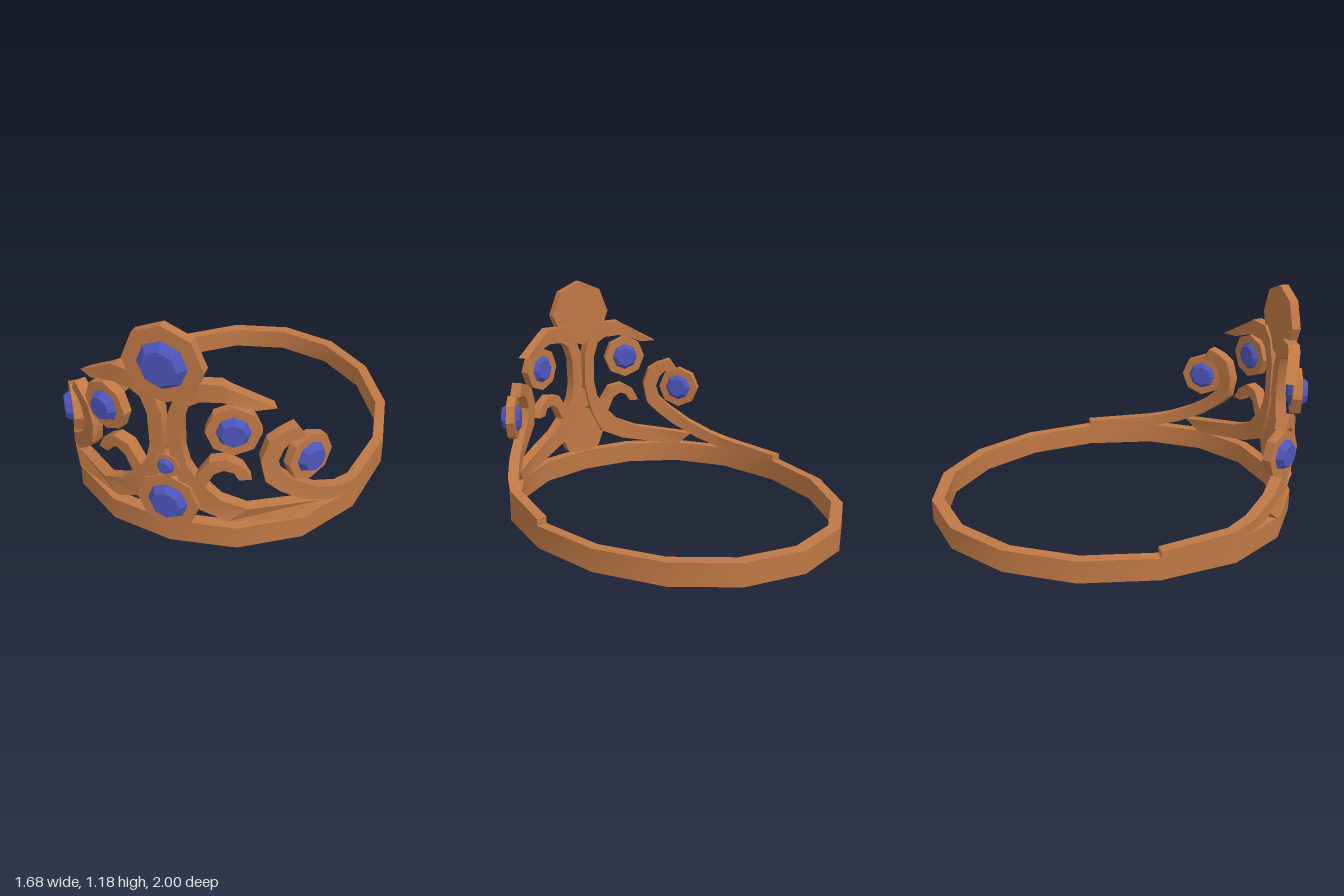
import * as THREE from 'three';
import { toCreasedNormals } from 'three/addons/utils/BufferGeometryUtils.js';

const copper = new THREE.MeshStandardMaterial({ color: 0xbf7845 });
copper.name = 'copper';
const blue = new THREE.MeshStandardMaterial({ color: 0x4c55ba });
blue.name = 'blue gem';

const CZ = 0.03, RX = 0.84, RF = 0.93, RB = 1.03, P = 2.2, INNER = 0.935;

// Depth of the front half of the band at a given x
function frontZ(x) {
  return CZ + RF * Math.pow(Math.max(0, 1 - Math.pow(Math.abs(x) / RX, P)), 1 / P);
}

// Solid through four-cornered sections, wound so that faces point outward
function loft(sections, closed) {
  const tris = [];
  const quad = (a, b, c, d) => tris.push([a, b, c], [a, c, d]);
  const n = sections.length;
  for (let i = 0; i < (closed ? n : n - 1); i++) {
    const s = sections[i], t = sections[(i + 1) % n];
    for (let k = 0; k < 4; k++) quad(s[k], s[(k + 1) % 4], t[(k + 1) % 4], t[k]);
  }
  if (!closed) {
    const s = sections[0], t = sections[n - 1];
    quad(s[3], s[2], s[1], s[0]);
    quad(t[0], t[1], t[2], t[3]);
  }
  let volume = 0;
  for (const [a, b, c] of tris) volume += a.dot(b.clone().cross(c));
  const points = [];
  for (const [a, b, c] of tris) points.push(...(volume > 0 ? [a, b, c] : [a, c, b]));
  return toCreasedNormals(new THREE.BufferGeometry().setFromPoints(points), 0.6);
}

// One corner on the outer or inner wall of the crown
function wall(x, y, z, k) {
  return new THREE.Vector3(x * k, y, CZ + (z - CZ) * k);
}

// Ribbon bent along the band; each row holds both edges as x, y, x, y
function ribbon(rows, side) {
  return loft(rows.map(([ax, ay, bx, by]) => {
    const az = frontZ(ax), bz = frontZ(bx);
    return [
      wall(side * ax, ay, az, 1), wall(side * bx, by, bz, 1),
      wall(side * bx, by, bz, INNER), wall(side * ax, ay, az, INNER),
    ];
  }), false);
}

function add(group, name, geometry, material) {
  const mesh = new THREE.Mesh(geometry, material);
  mesh.name = name;
  group.add(mesh);
  return mesh;
}

// Eight-sided prism or frustum facing +z, with a corner at the top
function octagon(back, front, depth) {
  const g = new THREE.CylinderGeometry(front, back, depth, 8).toNonIndexed();
  g.rotateX(Math.PI / 2);
  g.computeVertexNormals();
  return g;
}

// Plate with a cut gem; an open setting shows the gem at the back too
function setting(name, x, y, z, yaw, plateR, gemR, rise, open) {
  const g = new THREE.Group();
  g.name = name;
  const half = 0.024;
  add(g, 'plate', octagon(plateR, plateR, half * 2), copper);
  const front = add(g, 'gem', octagon(gemR, gemR * 0.72, rise), blue);
  front.position.z = half + rise / 2;
  if (open) {
    const rear = add(g, 'gemBack', octagon(gemR, gemR * 0.72, rise * 0.6), blue);
    rear.rotation.y = Math.PI;
    rear.position.z = -half - rise * 0.3;
  }
  g.position.set(x, y, z);
  g.rotation.y = yaw;
  return g;
}

const mainScroll = [
  [0.48, 0.79, 0.40, 0.79], [0.30, 0.90, 0.30, 0.825], [0.26, 0.925, 0.26, 0.835],
  [0.13, 0.92, 0.165, 0.83], [0.06, 0.86, 0.115, 0.80], [0.015, 0.74, 0.085, 0.72],
  [0.01, 0.56, 0.08, 0.56], [0.03, 0.46, 0.10, 0.47], [0.065, 0.35, 0.15, 0.39],
  [0.135, 0.23, 0.25, 0.29], [0.28, 0.165, 0.37, 0.235], [0.60, 0.11, 0.66, 0.185],
];
const smallCurl = [
  [0.385, 0.41, 0.33, 0.41], [0.35, 0.48, 0.31, 0.45], [0.28, 0.525, 0.265, 0.465],
  [0.20, 0.51, 0.22, 0.44], [0.14, 0.42, 0.18, 0.36], [0.09, 0.34, 0.15, 0.29],
];
const sideScroll = [
  [0.56, 0.67, 0.595, 0.60], [0.50, 0.645, 0.535, 0.59], [0.45, 0.61, 0.51, 0.56],
  [0.42, 0.51, 0.49, 0.50], [0.44, 0.39, 0.51, 0.42], [0.50, 0.32, 0.56, 0.36],
  [0.58, 0.245, 0.65, 0.27], [0.69, 0.16, 0.73, 0.205], [0.775, 0.11, 0.78, 0.175],
  [0.84, 0.10, 0.84, 0.155],
];

export function createModel() {
  const model = new THREE.Group();
  model.name = 'tiara';

  // Band, oval and sixteen-sided
  const sections = [];
  for (let i = 0; i < 16; i++) {
    const a = i * Math.PI / 8;
    const x = RX * Math.sin(a), c = Math.cos(a);
    const z = c > 0.01 ? frontZ(x) : CZ + RB * c;
    sections.push([wall(x, 0, z, 1), wall(x, 0.12, z, 1), wall(x, 0.12, z, INNER), wall(x, 0, z, INNER)]);
  }
  add(model, 'band', loft(sections, true), copper);

  // Mirrored scrolls and side gems
  for (const side of [1, -1]) {
    const half = new THREE.Group();
    half.name = side > 0 ? 'leftOrnament' : 'rightOrnament';
    add(half, 'mainScroll', ribbon(mainScroll, side), copper);
    add(half, 'smallCurl', ribbon(smallCurl, side), copper);
    add(half, 'sideScroll', ribbon(sideScroll, side), copper);
    half.add(setting('upperSideGem', side * 0.305, 0.69, 0.902, side * 0.33, 0.127, 0.08, 0.034, true));
    half.add(setting('lowerSideGem', side * 0.595, 0.485, 0.705, side * 0.96, 0.125, 0.08, 0.034, true));
    model.add(half);
  }

  // Centre gems
  model.add(setting('topGem', 0, 0.99, 0.934, 0, 0.193, 0.12, 0.04, false));
  model.add(setting('middleGem', 0, 0.455, 0.942, 0, 0.066, 0.042, 0.025, false));
  model.add(setting('bottomGem', 0, 0.245, 0.942, 0, 0.156, 0.1, 0.034, false));
  return model;
}
